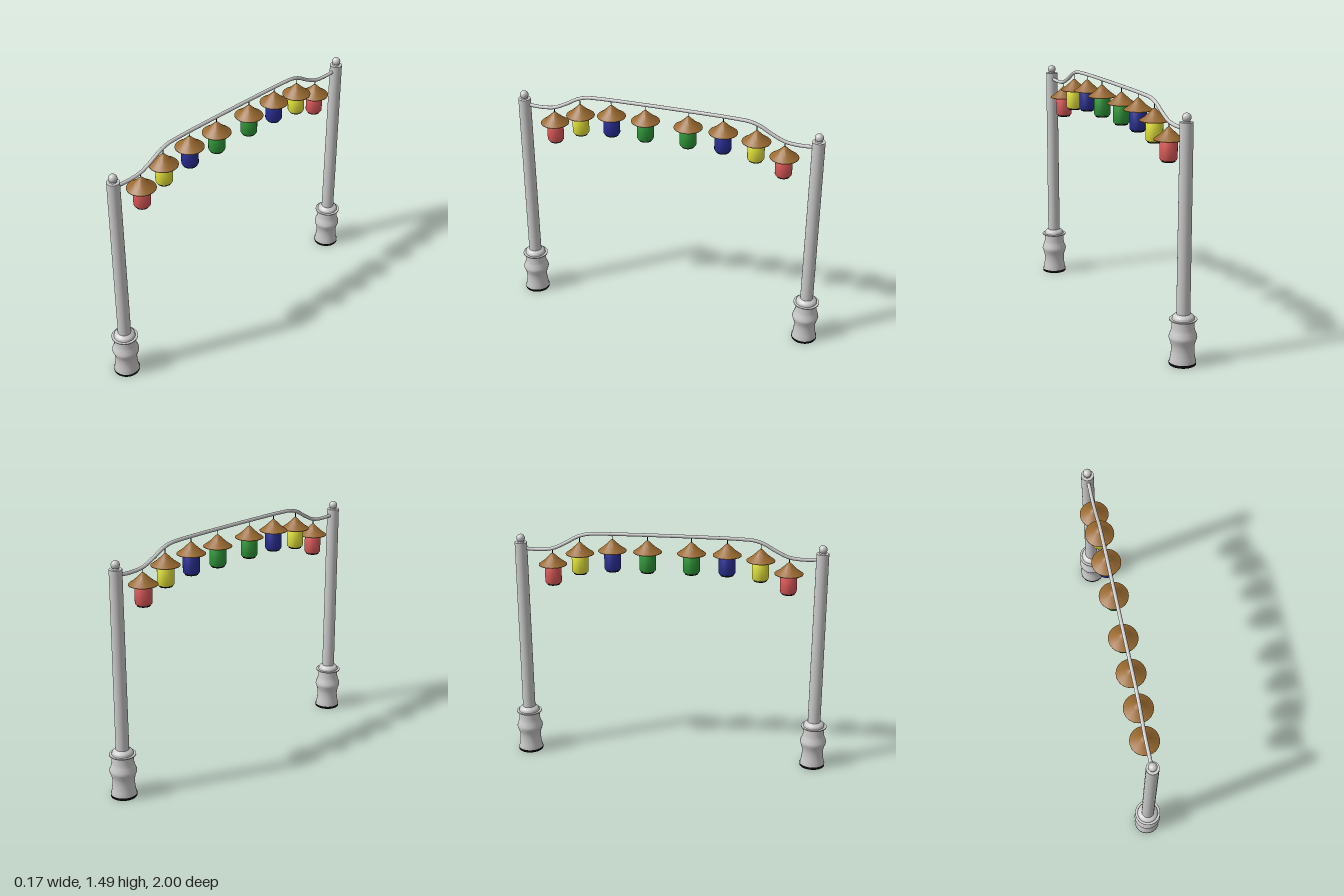
import * as THREE from 'three';
import { toCreasedNormals } from 'three/addons/utils/BufferGeometryUtils.js';

const paint = (color) => new THREE.MeshStandardMaterial({ color, side: THREE.DoubleSide });
const grey = paint(0xcccccc), black = paint(0x0a0a0a), brown = paint(0x9a6a30), darkRed = paint(0x5a2020);
const red = paint(0xe05a5a), yellow = paint(0xe6e63c), blue = paint(0x2a2f96), green = paint(0x2f9a3a);

function add(parent, name, geometry, material, y = 0) {
  const mesh = new THREE.Mesh(geometry, material);
  mesh.name = name;
  mesh.position.y = y;
  parent.add(mesh);
  return mesh;
}

// Turned shape from [radius, height] pairs, sharp at strong corners
function turned(points, segments = 32, crease = 0.6) {
  const profile = points.map(([r, y]) => new THREE.Vector2(r, y));
  return toCreasedNormals(new THREE.LatheGeometry(profile, segments), crease);
}

function createPost(z) {
  const post = new THREE.Group();
  post.name = 'post';
  post.position.z = z;
  add(post, 'pedestal', turned([
    [0, 0], [0.077, 0], [0.077, 0.015], [0.071, 0.045], [0.067, 0.08], [0.067, 0.11], [0.072, 0.135],
    [0.08, 0.155], [0.082, 0.165], [0.08, 0.178], [0.071, 0.2], [0.066, 0.22], [0.065, 0.268],
    [0.08, 0.268], [0.08, 0.274], [0.065, 0.274], [0.063, 0.288], [0.055, 0.297], [0.04, 0.305], [0.04, 0.31],
  ]), grey);
  add(post, 'footBand', new THREE.CylinderGeometry(0.079, 0.079, 0.016, 32, 1, true), black, 0.008);
  add(post, 'shaft', new THREE.CylinderGeometry(0.038, 0.04, 1.105, 32), grey, 0.8575);
  add(post, 'finialCollar', new THREE.CylinderGeometry(0.016, 0.024, 0.012, 24), grey, 1.412);
  add(post, 'finialBall', new THREE.SphereGeometry(0.026, 24, 16), grey, 1.435);
  return post;
}

// Lantern with its origin at the bottom
function createLantern(z, bottom, material, cableY) {
  const lantern = new THREE.Group();
  lantern.name = 'lantern';
  lantern.position.set(0, bottom, z);
  add(lantern, 'lanternBody', turned([
    [0.04, 0.007], [0.047, 0.01], [0.051, 0.018], [0.051, 0.116], [0.047, 0.124], [0.04, 0.128],
  ], 24), material);
  add(lantern, 'bottomRing', new THREE.CylinderGeometry(0.04, 0.04, 0.012, 24, 1, true), black, 0.006);
  add(lantern, 'bottomPlate', new THREE.CylinderGeometry(0.0395, 0.0395, 0.004, 24), darkRed, 0.003);
  add(lantern, 'roof', turned([
    [0, 0.128], [0.087, 0.126], [0.087, 0.129], [0.056, 0.151], [0.03, 0.175], [0.008, 0.197], [0, 0.2],
  ], 32), brown);
  const length = cableY - bottom - 0.195;
  add(lantern, 'hangingWire', new THREE.CylinderGeometry(0.0025, 0.0025, length, 8), black, 0.195 + length / 2);
  return lantern;
}

export function createModel() {
  const model = new THREE.Group();
  model.name = 'lanternArch';

  // Curved cable arm, mirrored about the middle
  const half = [[0.89, 1.37], [0.81, 1.367], [0.723, 1.377], [0.64, 1.415], [0.57, 1.455], [0.51, 1.474], [0.42, 1.48], [0.2, 1.483]];
  const points = [
    ...half.map(([z, y]) => new THREE.Vector3(0, y, z)),
    ...half.slice().reverse().map(([z, y]) => new THREE.Vector3(0, y, -z)),
  ];
  add(model, 'cableArm', new THREE.TubeGeometry(new THREE.CatmullRomCurve3(points), 120, 0.011, 12), grey);

  const lanterns = [
    [0.723, 1.148, red, 1.377], [0.552, 1.224, yellow, 1.46],
    [0.35, 1.25, blue, 1.48], [0.134, 1.25, green, 1.483],
  ];
  for (const side of [1, -1]) {
    model.add(createPost(side * 0.919));
    for (const [z, bottom, material, cableY] of lanterns) {
      model.add(createLantern(side * z, bottom, material, cableY));
    }
  }
  return model;
}
